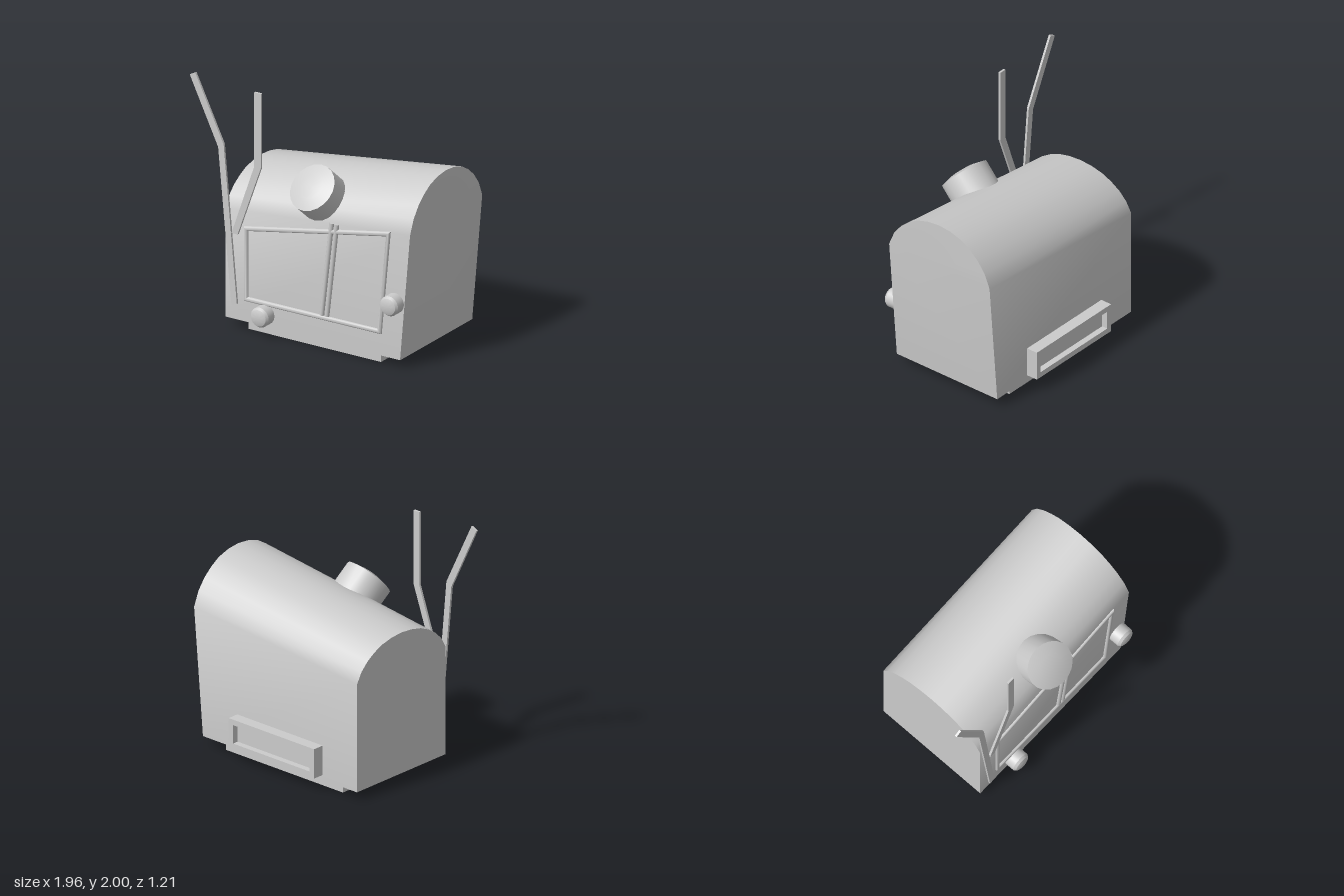
import * as THREE from 'three';
import { toCreasedNormals } from 'three/addons/utils/BufferGeometryUtils.js';

const material = new THREE.MeshStandardMaterial({ color: 0xcccccc });
const V3 = (x, y, z) => new THREE.Vector3(x, y, z);
const FRONT = 0.475, BACK = -0.505, FLOOR = 0.07;

function add(parent, name, geometry) {
  const mesh = new THREE.Mesh(geometry, material);
  mesh.name = name;
  parent.add(mesh);
  return mesh;
}

function fromTriangles(points, crease) {
  const g = new THREE.BufferGeometry().setFromPoints(points);
  return toCreasedNormals(g, crease);
}

// Arched hull: low at one end, high at the other, with a leaning high end wall
function bodyGeometry() {
  const half = [[1, 0], [0.9, 0.32], [0.765, 0.56], [0.61, 0.74], [0.44, 0.88], [0.22, 0.97]];
  const arch = [...half, [0, 1], ...half.map(([z, h]) => [-z, h]).reverse()];
  const zMid = (FRONT + BACK) / 2, zHalf = (FRONT - BACK) / 2;
  const section = (xLow, xHigh, spring, rise) => [
    V3(xLow, FLOOR, FRONT),
    ...arch.map(([z, h]) => V3(xHigh, spring + h * rise, zMid + z * zHalf)),
    V3(xLow, FLOOR, BACK),
  ];
  const L = section(-0.68, -0.68, 0.95, 0.27);
  const R = section(0.89, 0.98, 1.1, 0.365);
  const n = L.length, tris = [];
  for (let i = 0; i < n; i++) {
    const j = (i + 1) % n;
    tris.push(L[i], R[i], R[j], L[i], R[j], L[j]);
    if (i !== 1 && j !== 1) tris.push(L[1], L[i], L[j], R[1], R[j], R[i]);
  }
  return fromTriangles(tris, 0.6);
}

// Half-round moulding with mitred corners around an anticlockwise outline
function mouldingGeometry(corners, radius, steps) {
  const pts = corners.map(([x, y]) => new THREE.Vector2(x, y));
  const n = pts.length;
  const inward = pts.map((p, i) => {
    const d = pts[(i + 1) % n].clone().sub(p).normalize();
    return new THREE.Vector2(-d.y, d.x);
  });
  const rings = pts.map((p, i) => {
    const a = inward[(i + n - 1) % n], b = inward[i];
    const mitre = a.clone().add(b).divideScalar(1 + a.dot(b));
    return Array.from({ length: steps + 1 }, (_, k) => {
      const t = Math.PI * k / steps, s = -radius * Math.cos(t);
      return V3(p.x + mitre.x * s, p.y + mitre.y * s, FRONT + radius * Math.sin(t));
    });
  });
  const tris = [];
  rings.forEach((a, i) => {
    const b = rings[(i + 1) % n];
    for (let k = 0; k < steps; k++) tris.push(a[k], b[k], b[k + 1], a[k], b[k + 1], a[k + 1]);
  });
  return fromTriangles(tris, 0.7);
}

// Round lamp with a bevelled lens; the profile runs from its base to its lens
function addLamp(parent, name, profile, sides, position, direction) {
  const points = profile.map(([r, y]) => new THREE.Vector2(r, y));
  const geometry = toCreasedNormals(new THREE.LatheGeometry(points, sides), 0.4);
  const lamp = add(parent, name, geometry);
  lamp.position.copy(position);
  lamp.quaternion.setFromUnitVectors(V3(0, 1, 0), direction.normalize());
}

function addBar(parent, name, from, to, radius) {
  const bar = add(parent, name, new THREE.CylinderGeometry(radius, radius, from.distanceTo(to), 12));
  bar.position.lerpVectors(from, to, 0.5);
  bar.quaternion.setFromUnitVectors(V3(0, 1, 0), to.clone().sub(from).normalize());
}

function extrude(outline, depth, hole) {
  const vectors = (list) => list.map(([x, y]) => new THREE.Vector2(x, y));
  const shape = new THREE.Shape(vectors(outline));
  if (hole) shape.holes.push(new THREE.Path(vectors(hole)));
  return new THREE.ExtrudeGeometry(shape, { depth, bevelEnabled: false });
}

const rect = (x0, y0, x1, y1) => [[x0, y0], [x1, y0], [x1, y1], [x0, y1]];

export function createModel() {
  const model = new THREE.Group();
  model.name = 'archedCabin';

  add(model, 'body', bodyGeometry());

  // Plinth
  add(model, 'base', new THREE.BoxGeometry(1.19, 0.08, 0.9)).position.set(0.1, 0.04, -0.01);

  // Front panel moulding and the pair of slanted bars
  const panel = [[-0.492, 0.257], [0.708, 0.264], [0.786, 1.07], [-0.492, 0.826]];
  add(model, 'panelFrame', mouldingGeometry(panel, 0.019, 8));
  for (const dx of [0, 0.046]) {
    addBar(model, 'panelBar', V3(0.188 + dx, 0.28, FRONT), V3(0.277 + dx, 1.045, FRONT), 0.02);
  }

  // Two small front lamps
  const small = [[0, 0], [0.08, 0], [0.08, 0.105], [0.066, 0.125], [0.04, 0.135], [0, 0.135]];
  for (const [x, y] of [[-0.32, 0.17], [0.845, 0.525]]) {
    addLamp(model, 'frontLamp', small, 24, V3(x, y, 0.45), V3(0, 0, 1));
  }

  // Large lamp square to the sloping roof
  const large = [[0, -0.3], [0.193, -0.3], [0.193, 0], [0.1, 0.024], [0, 0.024]];
  addLamp(model, 'roofLamp', large, 20, V3(0.1, 1.29, 0.475), V3(-0.1, 0.67, 0.74));

  // Flat bent antennas
  const antennas = [
    [[-0.605, 0.19], [-0.557, 0.21], [-0.675, 1.475], [-0.93, 2], [-0.98, 1.975], [-0.725, 1.445]],
    [[-0.605, 0.775], [-0.55, 0.775], [-0.34, 1.36], [-0.34, 1.96], [-0.4, 1.96], [-0.4, 1.36]],
  ];
  for (const outline of antennas) {
    add(model, 'antenna', extrude(outline, 0.018)).position.z = 0.49;
  }

  // Recessed rear vent
  const vent = new THREE.Group();
  vent.name = 'rearVent';
  const rim = extrude(rect(-0.33, 0.11, 0.54, 0.35), 0.1, rect(-0.285, 0.155, 0.495, 0.305));
  add(vent, 'ventRim', rim).position.z = -0.6;
  add(vent, 'ventFloor', new THREE.BoxGeometry(0.8, 0.17, 0.05)).position.set(0.105, 0.23, -0.525);
  model.add(vent);

  return model;
}
